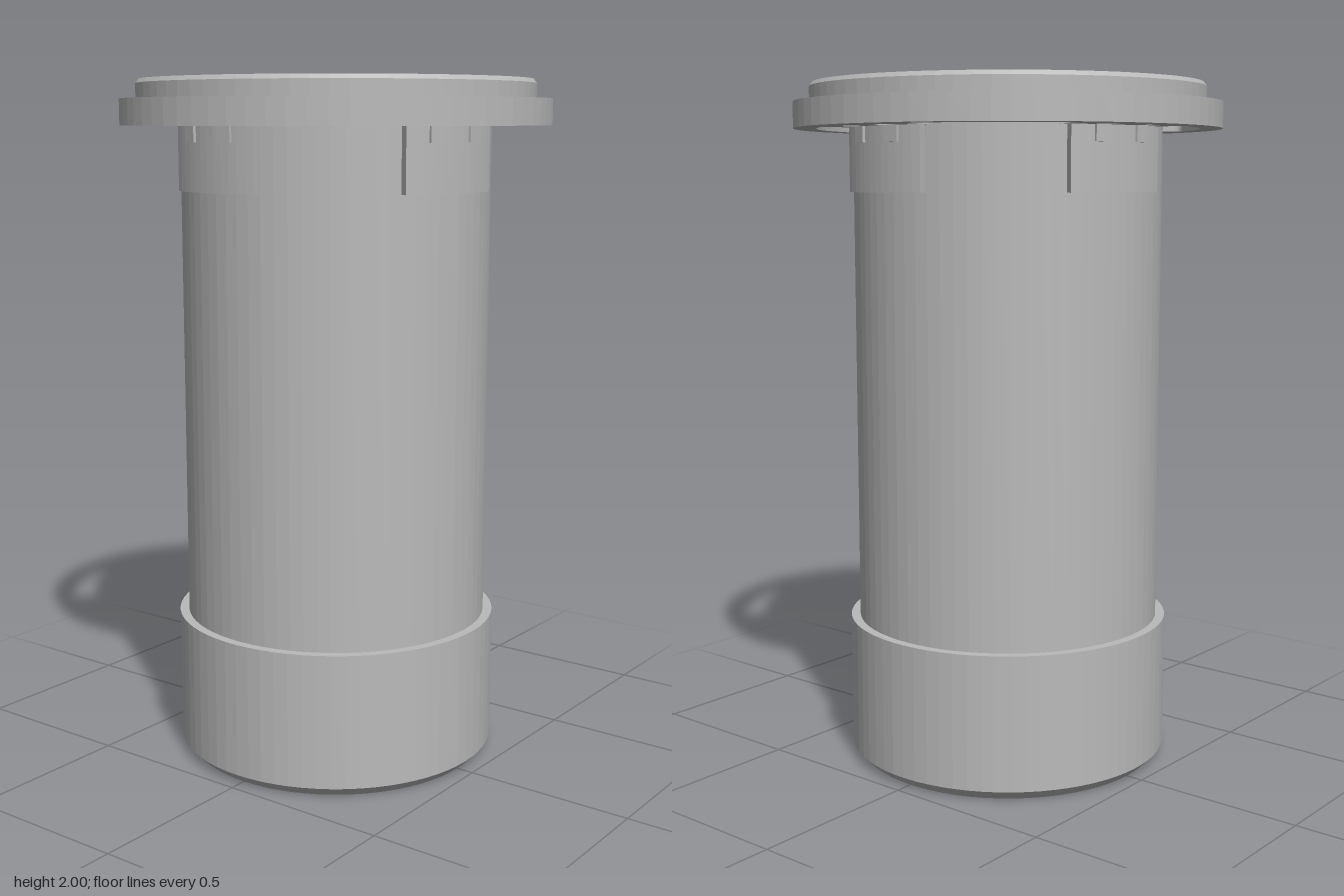
import * as THREE from 'three';

const SEG = 72;
const RAD = Math.PI / 180;
const polar = (r, a) => new THREE.Vector2(r * Math.cos(a), r * Math.sin(a));

function circle(r, n, cx = 0, cy = 0) {
  return Array.from({ length: n }, (_, i) =>
    polar(r, (i / n) * Math.PI * 2).add(new THREE.Vector2(cx, cy)));
}

// Ring sector between two radii and angles, with corners rounded by f
function sector(r0, r1, a0, a1, f = 0, steps = 12) {
  const pts = [];
  const corner = (r, a, sr, sa, start) => {
    if (!f) return pts.push(polar(r, a));
    const cr = r + sr * f, ca = a + sa * f / r;
    for (let i = 0; i <= 5; i++) {
      const t = start + (i / 5) * Math.PI / 2;
      pts.push(polar(cr + f * Math.cos(t), ca + f * Math.sin(t) / r));
    }
  };
  const along = (r, from, to) => {
    for (let i = 1; i < steps; i++) pts.push(polar(r, from + (to - from) * i / steps));
  };
  const g0 = f / r0, g1 = f / r1;
  corner(r1, a0, -1, 1, -Math.PI / 2);
  along(r1, a0 + g1, a1 - g1);
  corner(r1, a1, -1, -1, 0);
  corner(r0, a1, 1, -1, Math.PI / 2);
  along(r0, a1 - g0, a0 + g0);
  corner(r0, a0, 1, 1, Math.PI);
  return pts;
}

// Upright prism from an outline on the ground plane
function prism(points, holes, y0, y1) {
  const shape = new THREE.Shape(points);
  shape.holes = holes.map((h) => new THREE.Path(h));
  const geo = new THREE.ExtrudeGeometry(shape, { depth: y1 - y0, bevelEnabled: false });
  return geo.rotateX(-Math.PI / 2).translate(0, y0, 0);
}

// Faceted turned ring; the profile runs up the outside and down the inside
function turned(profile) {
  const pts = profile.map(([r, y]) => new THREE.Vector2(r, y));
  const geo = new THREE.LatheGeometry(pts, SEG).toNonIndexed();
  geo.computeVertexNormals();
  return geo;
}

export function createModel() {
  const model = new THREE.Group();
  model.name = 'flangedTube';
  const grey = new THREE.MeshStandardMaterial({ color: 0xbababa });
  grey.name = 'grey';
  const add = (name, geo, parent = model) => {
    const mesh = new THREE.Mesh(geo, grey);
    mesh.name = name;
    parent.add(mesh);
    return mesh;
  };

  // Hollow tube with the thicker chamfered collar at its foot
  add('tubeAndCollar', turned([
    [0.425, 0], [0.448, 0], [0.477, 0.03], [0.477, 0.425], [0.45, 0.425],
    [0.45, 1.88], [0.432, 1.88], [0.432, 2], [0.422, 1.985], [0.425, 0],
  ]));

  // Openings through the flange: four curved slots and four pairs of bolt holes
  const cuts = [];
  const boltAngles = [];
  for (let k = 0; k < 4; k++) {
    const q = k * 90;
    cuts.push(sector(0.45, 0.556, (q + 9.5) * RAD, (q + 59.5) * RAD, 0.022));
    for (const d of [-8.7, 8.7]) {
      const a = (q + 79.5 + d) * RAD;
      const c = polar(0.503, a);
      cuts.push(circle(0.032, 20, c.x, c.y));
      boltAngles.push(a);
    }
  }
  const inner = circle(0.432, SEG);
  add('flangePlate', prism(circle(0.622, SEG), [inner, ...cuts], 1.87, 1.945));
  add('raisedFace', prism(circle(0.566, SEG), [inner, ...cuts], 1.945, 2));
  add('raisedFaceRim', turned([
    [0.566, 1.94], [0.575, 1.94], [0.575, 1.988], [0.566, 2],
  ]));

  // Support pads under the solid webs of the flange
  for (let k = 0; k < 4; k++) {
    const a0 = (k * 90 + 59.4) * RAD, a1 = (k * 90 + 99.6) * RAD;
    add('supportPad', prism(sector(0.44, 0.477, a0, a1), [], 1.69, 1.87));
  }

  // Small lugs under the bolt holes
  for (const a of boltAngles) {
    const lug = add('boltLug', new THREE.BoxGeometry(0.03, 0.045, 0.048));
    const p = polar(0.469, a);
    lug.position.set(p.x, 1.8475, -p.y);
    lug.rotation.y = a;
  }
  return model;
}
